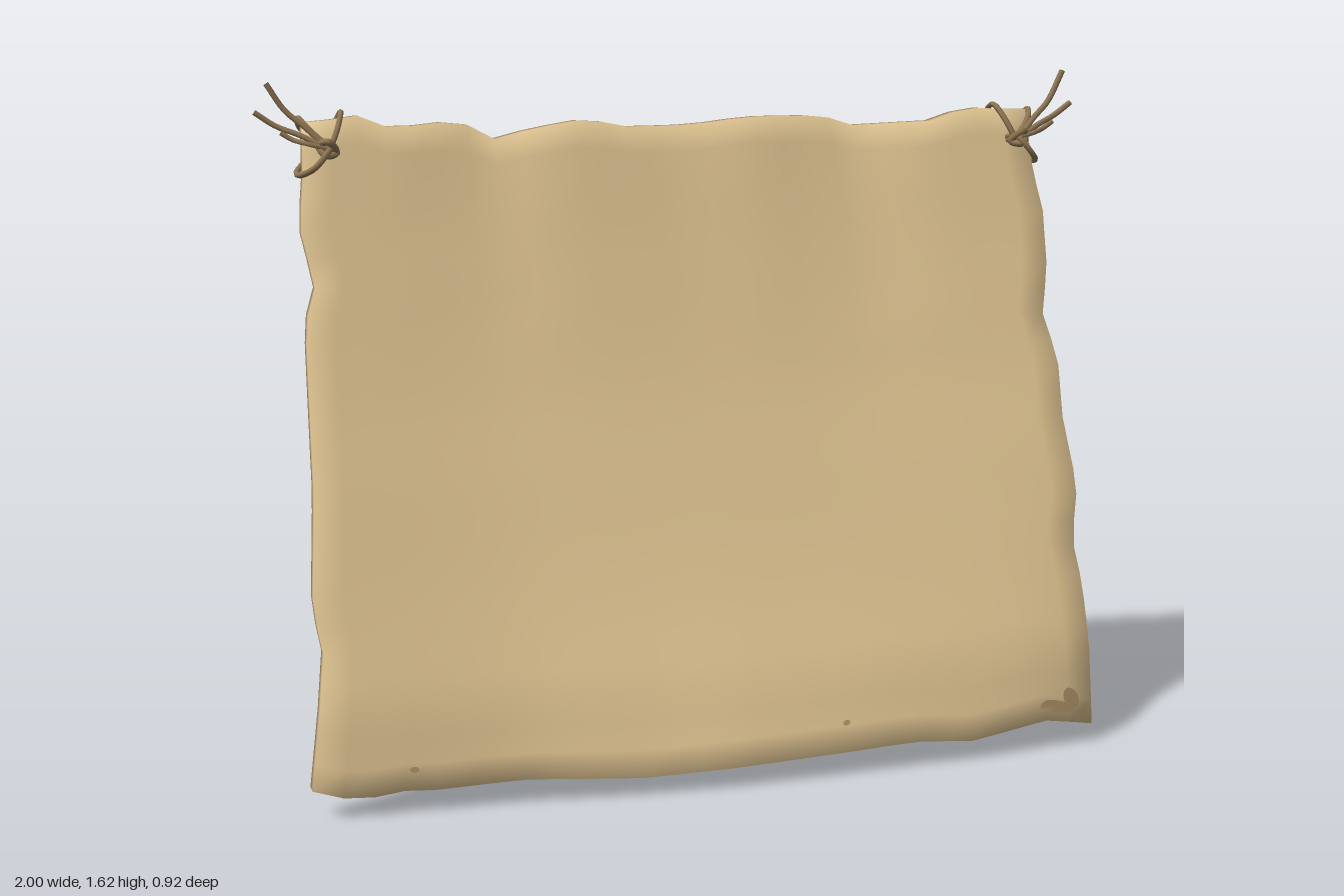
import * as THREE from 'three';
import { mergeVertices } from 'three/addons/utils/BufferGeometryUtils.js';

const THICK = 0.034;

// Linear lookup in a short list of [position, value] pairs
function lookup(table, t) {
  if (t <= table[0][0]) return table[0][1];
  for (let i = 1; i < table.length; i++) {
    const [a, va] = table[i - 1], [b, vb] = table[i];
    if (t <= b) return va + (vb - va) * (t - a) / (b - a);
  }
  return table[table.length - 1][1];
}

// Ragged outline of the hide and its lean
const LEFT = [[0.05, -0.95], [0.38, -0.91], [0.45, -0.93], [0.7, -0.912], [1.07, -0.906], [1.15, -0.88], [1.28, -0.906], [1.4, -0.892], [1.52, -0.89]];
const RIGHT = [[0.05, 0.952], [0.4, 0.935], [0.5, 0.918], [0.62, 0.942], [0.78, 0.92], [0.92, 0.922], [1.03, 0.89], [1.13, 0.912], [1.27, 0.912], [1.37, 0.89], [1.52, 0.88]];
const TOP = [[-0.9, 1.52], [-0.8, 1.535], [-0.72, 1.505], [-0.55, 1.52], [-0.47, 1.475], [-0.37, 1.5], [-0.24, 1.52], [-0.13, 1.5], [0.03, 1.502], [0.18, 1.52], [0.38, 1.52], [0.46, 1.495], [0.68, 1.505], [0.76, 1.535], [0.88, 1.53]];
const BOTTOM = [[-0.93, 0.072], [-0.83, 0.042], [-0.75, 0.062], [-0.7, 0.054], [-0.45, 0.062], [-0.2, 0.047], [0.1, 0.056], [0.45, 0.067], [0.6, 0.052], [0.8, 0.076], [0.93, 0.048]];
const LEAN = [[0.05, 0.375], [0.25, 0.362], [0.45, 0.312], [0.7, 0.25], [0.9, 0.195], [1.05, 0.158], [1.25, 0.11], [1.53, 0.048]];
const TOP_WAVE = [[-0.9, 0.008], [-0.7, 0.008], [-0.47, -0.024], [-0.3, 0], [0, -0.018], [0.2, 0], [0.47, -0.03], [0.65, 0], [0.9, 0.008]];
const BOTTOM_WAVE = [[-0.93, -0.015], [-0.8, 0], [-0.5, 0.015], [-0.3, 0.04], [0, 0.062], [0.3, 0.058], [0.6, 0.043], [0.8, 0.022], [0.93, -0.003]];

// Middle surface of the hide for u, v in 0..1
function hidePoint(u, v) {
  const x0 = (u - 0.5) * 1.86;
  const y = THREE.MathUtils.lerp(lookup(BOTTOM, x0), lookup(TOP, x0), v);
  const yr = 0.06 + v * 1.45;
  const x = THREE.MathUtils.lerp(lookup(LEFT, yr), lookup(RIGHT, yr), u);
  const w = 2 * u - 1;
  const z = lookup(LEAN, y) - 0.02 * (1 - w * w) * Math.sin(Math.PI * v)
    + lookup(BOTTOM_WAVE, x0) * (1 - v) ** 5 + lookup(TOP_WAVE, x0) * v ** 4
    + 0.004 * Math.sin(7 * x0 + 3 * yr) * Math.sin(Math.PI * v);
  return new THREE.Vector3(x, y, z);
}

function makeHide(mat) {
  let geo = new THREE.BoxGeometry(1, 1, 1, 28, 24, 1);
  geo.deleteAttribute('uv');
  geo.deleteAttribute('normal');
  geo.clearGroups();
  geo = mergeVertices(geo);
  const pos = geo.attributes.position;
  for (let i = 0; i < pos.count; i++) {
    const p = hidePoint(pos.getX(i) + 0.5, pos.getY(i) + 0.5);
    pos.setXYZ(i, p.x, p.y, p.z + pos.getZ(i) * THICK);
  }
  geo.computeVertexNormals();
  const mesh = new THREE.Mesh(geo, mat);
  mesh.name = 'hidePanel';
  return mesh;
}

// Irregular spot that follows the hide; side is +1 for front, -1 for back
function makeStain(u, v, ru, rv, side, mat) {
  const geo = new THREE.CircleGeometry(1, 20);
  const pos = geo.attributes.position;
  for (let i = 0; i < pos.count; i++) {
    const a = Math.atan2(pos.getY(i), pos.getX(i));
    const k = 1 + 0.1 * Math.sin(2 * a + u * 9);
    const p = hidePoint(u + pos.getX(i) * ru * k, v + pos.getY(i) * rv * k);
    pos.setXYZ(i, p.x, p.y, p.z + side * (THICK / 2 + 0.008));
  }
  geo.computeVertexNormals();
  const mesh = new THREE.Mesh(geo, mat);
  mesh.name = 'stain';
  return mesh;
}

// Mounting plate, hinge and prop leg
function makeSupport(xTop, foot, mat) {
  const support = new THREE.Group();
  support.name = 'support';
  const add = (name, geo, parent) => {
    const m = new THREE.Mesh(geo, mat);
    m.name = name;
    parent.add(m);
    return m;
  };
  const mount = new THREE.Group();
  mount.name = 'mount';
  mount.position.set(xTop, 0.445, 0.272);
  mount.rotation.x = -0.24;
  support.add(mount);
  add('mountPlate', new THREE.BoxGeometry(0.14, 0.15, 0.026), mount);
  const block = new THREE.CylinderGeometry(0.03, 0.045, 0.055, 4, 1).toNonIndexed();
  block.rotateY(Math.PI / 4).rotateX(-Math.PI / 2);
  block.computeVertexNormals();
  add('hingeBlock', block, mount).position.set(0, -0.008, -0.038);

  const pin = add('hingePin', new THREE.CylinderGeometry(0.011, 0.011, 0.066, 8), support);
  pin.rotation.z = Math.PI / 2;
  pin.position.set(xTop, 0.425, 0.225);

  // Leg with a slanted foot
  const top = new THREE.Vector3(xTop, 0.422, 0.195);
  const axis = top.clone().sub(foot);
  const length = axis.length();
  const geo = new THREE.CylinderGeometry(0.026, 0.028, length, 8);
  geo.rotateY(Math.PI / 8);
  const pos = geo.attributes.position;
  for (let i = 0; i < pos.count; i++) {
    if (pos.getY(i) < 0) pos.setY(i, pos.getY(i) + pos.getZ(i) * 0.6);
  }
  geo.computeVertexNormals();
  const leg = add('propLeg', geo, support);
  leg.position.copy(top).add(foot).multiplyScalar(0.5);
  leg.quaternion.setFromUnitVectors(new THREE.Vector3(0, 1, 0), axis.normalize());
  const joint = add('legJoint', new THREE.SphereGeometry(0.024, 10, 8), support);
  joint.position.copy(top);
  return support;
}

// Cord tie at one top corner; s is the side sign
function makeTie(s, mat) {
  const tie = new THREE.Group();
  tie.name = s > 0 ? 'leftTie' : 'rightTie';
  const cord = (name, pts, closed, r = 0.007) => {
    const curve = new THREE.CatmullRomCurve3(pts.map(([x, y, z]) => new THREE.Vector3(x * s, y, z)), closed);
    const m = new THREE.Mesh(new THREE.TubeGeometry(curve, closed ? 36 : 14, r, 6, closed), mat);
    m.name = name;
    tie.add(m);
  };
  // Loops around the top edge and the side edge
  cord('topLoop', [[0.835, 1.46, 0.11], [0.815, 1.505, 0.1], [0.8, 1.542, 0.06], [0.805, 1.52, 0.015], [0.83, 1.47, 0.01], [0.835, 1.455, 0.06]], true);
  cord('cornerLoop', [[0.835, 1.465, 0.115], [0.875, 1.505, 0.095], [0.895, 1.53, 0.055], [0.885, 1.505, 0.015], [0.84, 1.465, 0.015], [0.83, 1.455, 0.06]], true);
  cord('sideLoop', [[0.835, 1.465, 0.13], [0.87, 1.425, 0.14], [0.9, 1.405, 0.09], [0.895, 1.415, 0.035], [0.845, 1.455, 0.015], [0.83, 1.46, 0.06]], true);
  cord('knot', [[0.82, 1.455, 0.12], [0.84, 1.48, 0.14], [0.86, 1.472, 0.12], [0.845, 1.45, 0.135]], true, 0.008);
  // Loose ends
  const lift = s > 0 ? 0.015 : 0;
  cord('looseEndHigh', [[0.84, 1.465, 0.13], [0.885, 1.51, 0.11], [0.93, 1.55, 0.095], [0.968, 1.608 + lift, 0.092]], false);
  cord('looseEndMiddle', [[0.84, 1.465, 0.13], [0.9, 1.495, 0.11], [0.95, 1.515, 0.09], [0.995, 1.545, 0.085]], false);
  cord('looseEndLow', [[0.84, 1.465, 0.13], [0.88, 1.475, 0.125], [0.915, 1.485, 0.105], [0.94, 1.5, 0.1]], false, 0.006);
  return tie;
}

export function createModel() {
  const color = (name, hex, side = THREE.FrontSide) => {
    const m = new THREE.MeshStandardMaterial({ color: hex, side });
    m.name = name;
    return m;
  };
  const hide = color('tan hide', 0xe3c794);
  const wood = color('brown wood', 0xb9996f);
  const cord = color('brown cord', 0x8f7654);
  const stain = color('hide stain', 0xb1966a, THREE.DoubleSide);

  const model = new THREE.Group();
  model.name = 'leaningHideScreen';
  model.add(makeHide(hide));

  model.add(makeSupport(-0.395, new THREE.Vector3(-0.433, 0.016, -0.402), wood));
  model.add(makeSupport(0.465, new THREE.Vector3(0.437, 0.016, -0.437), wood));
  for (const s of [1, -1]) model.add(makeTie(s, cord));

  // Stains along the bottom edge: u, v, width, height, side
  const spots = [
    [0.945, 0.026, 0.024, 0.011, 1], [0.967, 0.042, 0.011, 0.018, 1], [0.115, 0.035, 0.005, 0.005, 1],
    [0.65, 0.047, 0.005, 0.004, 1], [0.955, 0.04, 0.016, 0.012, -1], [0.91, 0.03, 0.006, 0.005, -1],
  ];
  for (const p of spots) model.add(makeStain(...p, stain));
  return model;
}
